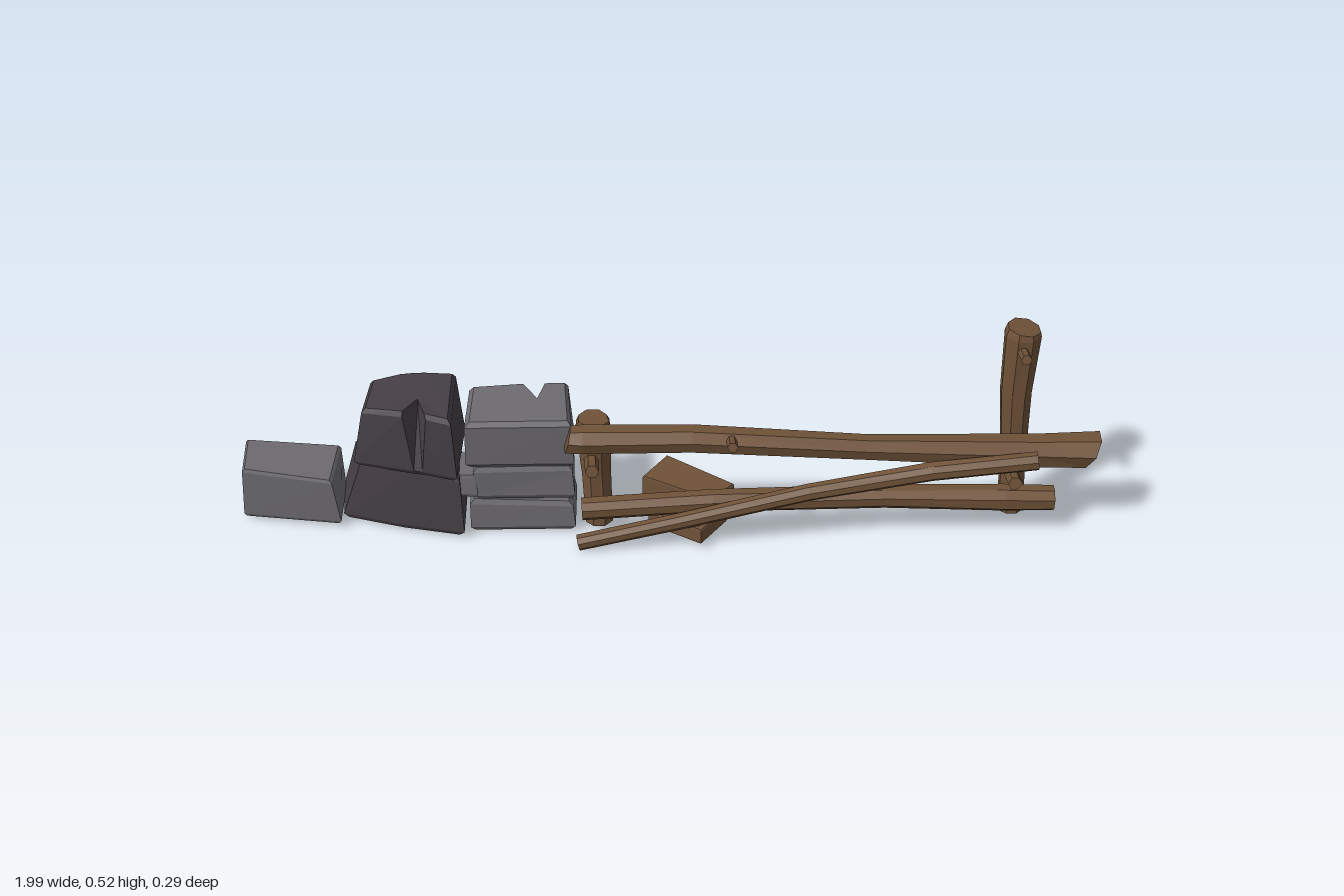
import * as THREE from 'three';

const wood = new THREE.MeshStandardMaterial({ color: 0x6f5238, flatShading: true });
wood.name = 'brown wood';
const lightStone = new THREE.MeshStandardMaterial({ color: 0x6c6a6f, flatShading: true });
lightStone.name = 'light grey stone';
const darkStone = new THREE.MeshStandardMaterial({ color: 0x453f45, flatShading: true });
darkStone.name = 'dark grey stone';

// Skin a list of rings and close both ends; flatten picks the plane used to triangulate the caps.
function loft(rings, flatten) {
  const pos = [];
  const tri = (a, b, c) => pos.push(...a.toArray(), ...b.toArray(), ...c.toArray());
  const n = rings[0].length;
  for (let k = 0; k < rings.length - 1; k++) {
    const lo = rings[k], hi = rings[k + 1];
    for (let i = 0; i < n; i++) {
      const j = (i + 1) % n;
      tri(lo[i], lo[j], hi[j]);
      tri(lo[i], hi[j], hi[i]);
    }
  }
  const last = rings[rings.length - 1];
  const axis = centre(last).sub(centre(rings[0]));
  const cap = (ring, dir) => {
    for (const [a, b, c] of THREE.ShapeUtils.triangulateShape(ring.map(flatten), [])) {
      const normal = ring[b].clone().sub(ring[a]).cross(ring[c].clone().sub(ring[a]));
      if (normal.dot(axis) * dir > 0) tri(ring[a], ring[b], ring[c]);
      else tri(ring[a], ring[c], ring[b]);
    }
  };
  cap(rings[0], -1);
  cap(last, 1);
  const geo = new THREE.BufferGeometry();
  geo.setAttribute('position', new THREE.Float32BufferAttribute(pos, 3));
  geo.computeVertexNormals();
  return geo;
}

function centre(ring) {
  return ring.reduce((s, p) => s.add(p), new THREE.Vector3()).divideScalar(ring.length);
}

// Hewn block from a bottom and a top plan of [x, z, y] corners, with worn edges.
function block(name, mat, bottom, top, bevel = 0.012) {
  const toRing = plan => plan.map(([x, z, y]) => new THREE.Vector3(x, y, z));
  const b = toRing(bottom), t = toRing(top);
  const inset = (ring, dy) => {
    const c = centre(ring);
    return ring.map(p => new THREE.Vector3(
      THREE.MathUtils.lerp(p.x, c.x, bevel * 7), p.y + dy, THREE.MathUtils.lerp(p.z, c.z, bevel * 7)));
  };
  const rings = [inset(b, 0), b.map(p => p.clone().setY(p.y + bevel)),
    t.map(p => p.clone().setY(p.y - bevel)), inset(t, 0)];
  const mesh = new THREE.Mesh(loft(rings, p => new THREE.Vector2(p.x, p.z)), mat);
  mesh.name = name;
  return mesh;
}

// Rough log through [x, y, z, radius] points; slant tilts the end cuts.
function log(name, points, sides = 8, slant = [0, 0], rough = 0.1) {
  let seed = 7 + Math.round(Math.abs(points[0][0] * 100 + points[0][1] * 1000));
  const rand = () => (seed = (seed * 16807) % 2147483647) / 2147483647;
  const p = points.map(([x, y, z]) => new THREE.Vector3(x, y, z));
  const whole = p[p.length - 1].clone().sub(p[0]);
  const upright = Math.abs(whole.y) > Math.abs(whole.x) && Math.abs(whole.y) > Math.abs(whole.z);
  const alongZ = !upright && Math.abs(whole.z) > Math.abs(whole.x);
  const wobble = Array.from({ length: sides }, () => 1 + (rand() - 0.5) * rough);
  const rings = p.map((c, k) => {
    const d = p[Math.min(k + 1, p.length - 1)].clone().sub(p[Math.max(k - 1, 0)]).normalize();
    const u = upright ? new THREE.Vector3(1, 0, 0) : new THREE.Vector3(0, 1, 0);
    u.addScaledVector(d, -u.dot(d)).normalize();
    const v = d.clone().cross(u);
    const cut = k === 0 ? slant[0] : k === p.length - 1 ? slant[1] : 0;
    return wobble.map((w, i) => {
      const a = (i + 0.5) / sides * Math.PI * 2, r = points[k][3] * w * (1 + (rand() - 0.5) * rough);
      return c.clone().addScaledVector(u, r * Math.cos(a)).addScaledVector(v, r * Math.sin(a))
        .addScaledVector(d, cut * r * Math.cos(a));
    });
  });
  const flatten = q => upright ? new THREE.Vector2(q.x, q.z)
    : alongZ ? new THREE.Vector2(q.x, q.y) : new THREE.Vector2(q.z, q.y);
  const mesh = new THREE.Mesh(loft(rings, flatten), wood);
  mesh.name = name;
  return mesh;
}

// Raise a flat [x, z] plan to height y
const at = (y, plan) => plan.map(([x, z]) => [x, z, y]);

export function createModel() {
  const model = new THREE.Group();
  model.name = 'brokenWallAndFence';

  // Stone wall, corners run back left, front left, front right, back right
  const wall = new THREE.Group();
  wall.name = 'stoneWall';
  wall.add(
    block('endStone', lightStone,
      at(0.015, [[-1, -0.145], [-1, -0.025], [-0.77, 0.015], [-0.765, -0.12]]),
      [[-0.995, -0.143, 0.155], [-0.995, -0.025, 0.152], [-0.785, 0.013, 0.14], [-0.77, -0.12, 0.148]], 0.008),
    block('darkLowerStone', darkStone,
      at(0.012, [[-0.77, -0.135], [-0.765, -0.015], [-0.62, 0.035], [-0.48, 0.07], [-0.475, -0.115]]),
      [[-0.735, -0.125, 0.165], [-0.72, -0.015, 0.175], [-0.61, 0.03, 0.185], [-0.485, 0.065, 0.18], [-0.49, -0.105, 0.185]]),
    // Cracked on the front at the top and at the back near the base
    block('darkUpperStone', darkStone,
      at(0.178, [[-0.72, -0.12], [-0.73, 0.005], [-0.59, 0.047], [-0.57, 0.052], [-0.55, 0.058], [-0.49, 0.08],
        [-0.475, -0.115], [-0.56, -0.12], [-0.59, -0.06], [-0.62, -0.125]]),
      [[-0.69, -0.128, 0.33], [-0.705, 0, 0.335], [-0.61, 0.04, 0.35], [-0.575, -0.01, 0.35], [-0.555, 0.06, 0.355],
        [-0.497, 0.085, 0.355], [-0.49, -0.11, 0.355], [-0.56, -0.118, 0.355], [-0.59, -0.122, 0.352], [-0.62, -0.125, 0.348]]),
    block('lightLowerStone', lightStone,
      at(0.012, [[-0.46, -0.1], [-0.465, 0.05], [-0.22, 0.055], [-0.215, -0.1]]),
      [[-0.46, -0.095, 0.1], [-0.465, 0.045, 0.1], [-0.225, 0.05, 0.09], [-0.225, -0.095, 0.09]]),
    block('lightMiddleStone', lightStone,
      at(0.1, [[-0.45, -0.095], [-0.45, 0.045], [-0.22, 0.05], [-0.22, -0.1]]),
      at(0.19, [[-0.455, -0.095], [-0.455, 0.045], [-0.225, 0.045], [-0.225, -0.098]])),
    // Notched in the top back edge
    block('lightUpperStone', lightStone,
      at(0.19, [[-0.465, -0.095], [-0.47, 0.045], [-0.22, 0.05], [-0.22, -0.1], [-0.28, -0.1], [-0.3, -0.1], [-0.33, -0.1]]),
      [[-0.46, -0.1, 0.322], [-0.47, 0.045, 0.318], [-0.225, 0.052, 0.32], [-0.23, -0.105, 0.325],
        [-0.28, -0.105, 0.325], [-0.3, -0.04, 0.325], [-0.335, -0.105, 0.325]]),
    block('smallFillerStone', lightStone,
      at(0.112, [[-0.515, -0.05], [-0.515, 0.045], [-0.445, 0.05], [-0.445, -0.05]]),
      at(0.17, [[-0.51, -0.05], [-0.51, 0.04], [-0.45, 0.045], [-0.45, -0.05]]), 0.008));
  model.add(wall);

  // Fence posts and rails
  const fence = new THREE.Group();
  fence.name = 'woodenFence';
  fence.add(
    log('rightPost', [[0.81, 0.008, 0, 0.031], [0.805, 0.17, 0, 0.033], [0.8, 0.35, 0, 0.039], [0.805, 0.505, 0, 0.046],
      [0.805, 0.52, 0, 0.04]], 8, [0, -0.15]),
    log('leftPost', [[-0.165, 0.008, 0.005, 0.034], [-0.17, 0.15, 0, 0.035], [-0.175, 0.28, 0, 0.043],
      [-0.175, 0.295, 0, 0.037]], 8),
    log('topRail', [[-0.235, 0.28, 0.06, 0.033], [-0.2, 0.278, 0.06, 0.036], [0.05, 0.275, 0.062, 0.033],
      [0.45, 0.243, 0.067, 0.031], [0.85, 0.222, 0.067, 0.04], [0.972, 0.217, 0.066, 0.044]], 7, [0.2, 0.5]),
    log('lowerRail', [[-0.205, 0.09, 0.075, 0.027], [0.1, 0.103, 0.073, 0.028], [0.5, 0.102, 0.07, 0.029],
      [0.78, 0.093, 0.073, 0.034], [0.895, 0.088, 0.073, 0.032]], 8),
    log('fallenRail', [[-0.215, 0.022, 0.115, 0.02], [0.02, 0.075, 0.112, 0.02], [0.32, 0.153, 0.114, 0.021],
      [0.6, 0.205, 0.116, 0.022], [0.842, 0.23, 0.118, 0.023]], 8));

  // Pegs jutting from the posts and the top rail
  const pegs = [['upperPeg', 0.8, 0.468, 0, 0.49, 0.088, 0.013], ['lowerPeg', 0.79, 0.152, 0.015, 0.182, 0.14, 0.017],
    ['leftPeg', -0.18, 0.195, 0.015, 0.215, 0.1, 0.017], ['railPeg', 0.14, 0.275, 0.06, 0.296, 0.13, 0.012]];
  for (const [name, x, y0, z0, y1, z1, r] of pegs) fence.add(log(name, [[x, y0, z0, r], [x, y1, z1, r]], 6));
  model.add(fence);

  // Broken pieces of wood on the ground
  const largeChunk = [[0, -0.142], [-0.06, -0.06], [0.1, 0.04], [0.155, -0.02]];
  const smallChunk = [[0.03, -0.02], [-0.05, 0.05], [0.07, 0.13], [0.135, 0.045]];
  model.add(
    block('largeWoodChunk', wood, at(0.016, largeChunk), at(0.08, largeChunk), 0.004),
    block('smallWoodChunk', wood, at(0.02, smallChunk), at(0.06, smallChunk), 0.004));
  return model;
}
